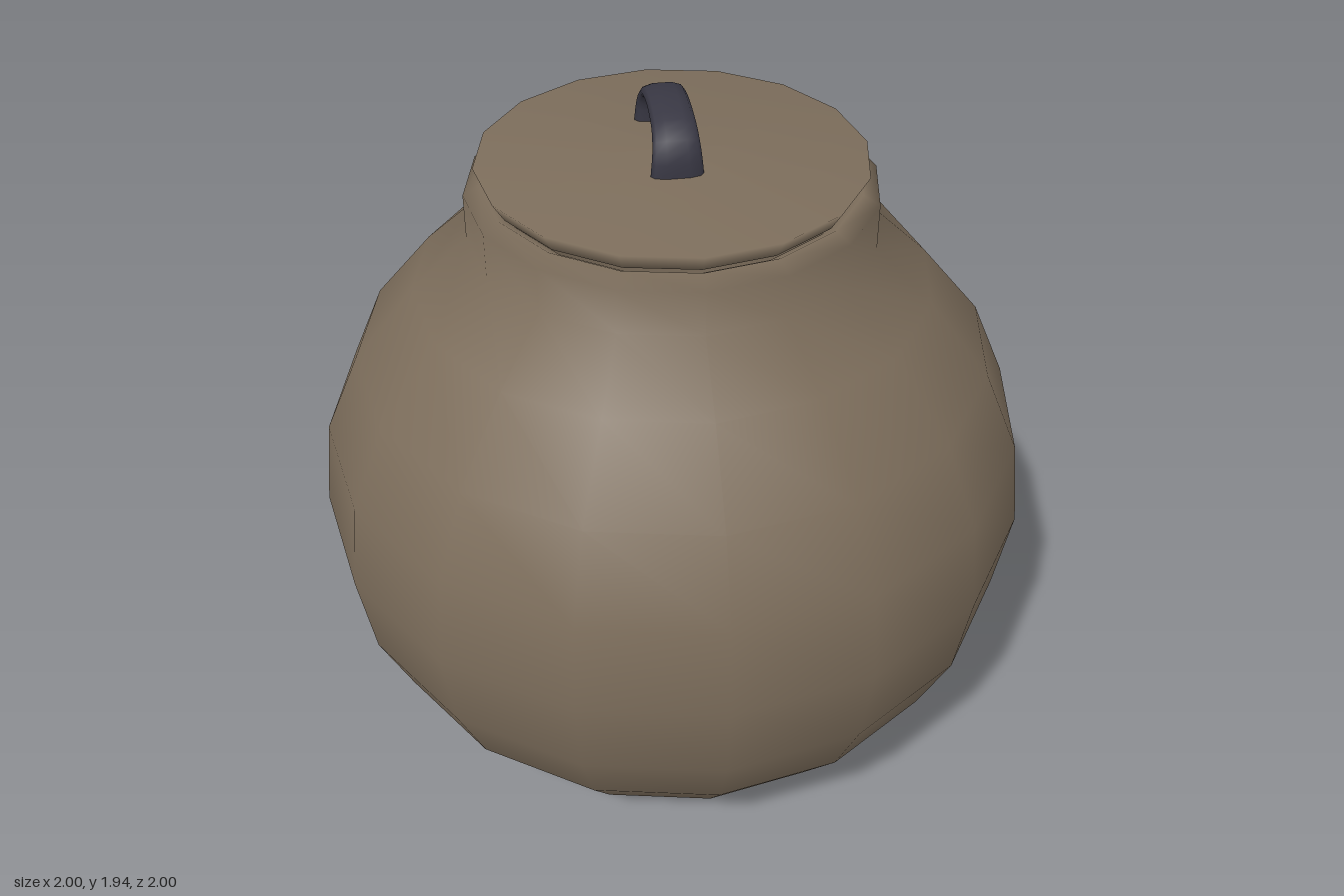
import * as THREE from 'three';

const SIDES = 16;

// Smooth 16-sided turned part; profile is [radius, height] from bottom to top
function turned(name, profile, material) {
  const points = profile.map(([r, y]) => new THREE.Vector2(r, y));
  const mesh = new THREE.Mesh(new THREE.LatheGeometry(points, SIDES), material);
  mesh.name = name;
  return mesh;
}

// Broad arched strap: a tube flattened into a band, wider at its feet
function makeHandle(material) {
  const path = new THREE.CatmullRomCurve3([
    [1.785, 0.138], [1.86, 0.13], [1.9, 0.095], [1.921, 0.02],
    [1.921, -0.065], [1.9, -0.14], [1.86, -0.175], [1.785, -0.184],
  ].map(([y, z]) => new THREE.Vector3(0, y, z)));
  const geometry = new THREE.TubeGeometry(path, 20, 0.021, 10);
  const pos = geometry.attributes.position;
  for (let i = 0; i < pos.count; i++) {
    const foot = THREE.MathUtils.clamp((1.94 - pos.getY(i)) / 0.14, 0, 1);
    // squared-off oval section
    const t = THREE.MathUtils.clamp(pos.getX(i) / 0.021, -1, 1);
    const x = Math.sign(t) * Math.pow(Math.abs(t), 0.7);
    pos.setX(i, x * (0.054 + 0.014 * foot) - 0.008);
  }
  geometry.computeVertexNormals();
  const mesh = new THREE.Mesh(geometry, material);
  mesh.name = 'handle';
  return mesh;
}

export function createModel() {
  const clay = new THREE.MeshStandardMaterial({ color: 0x7c6d5b, side: THREE.DoubleSide });
  clay.name = 'brown clay';
  const iron = new THREE.MeshStandardMaterial({ color: 0x383743, side: THREE.DoubleSide });
  iron.name = 'dark iron';

  const group = new THREE.Group();
  group.name = 'lidded pot';

  // Round belly, short neck and rim turned inwards
  group.add(turned('potBody', [
    [0, 0], [0.53, 0.004], [0.73, 0.13], [0.87, 0.31], [0.96, 0.51], [1, 0.76],
    [0.97, 1.01], [0.87, 1.235], [0.7, 1.44], [0.545, 1.585], [0.545, 1.71],
    [0.5, 1.735], [0.46, 1.71],
  ], clay));

  // Shallow lid with an undercut edge
  group.add(turned('lid', [
    [0.46, 1.72], [0.485, 1.735], [0.515, 1.785], [0, 1.808],
  ], clay));

  group.add(makeHandle(iron));
  return group;
}
